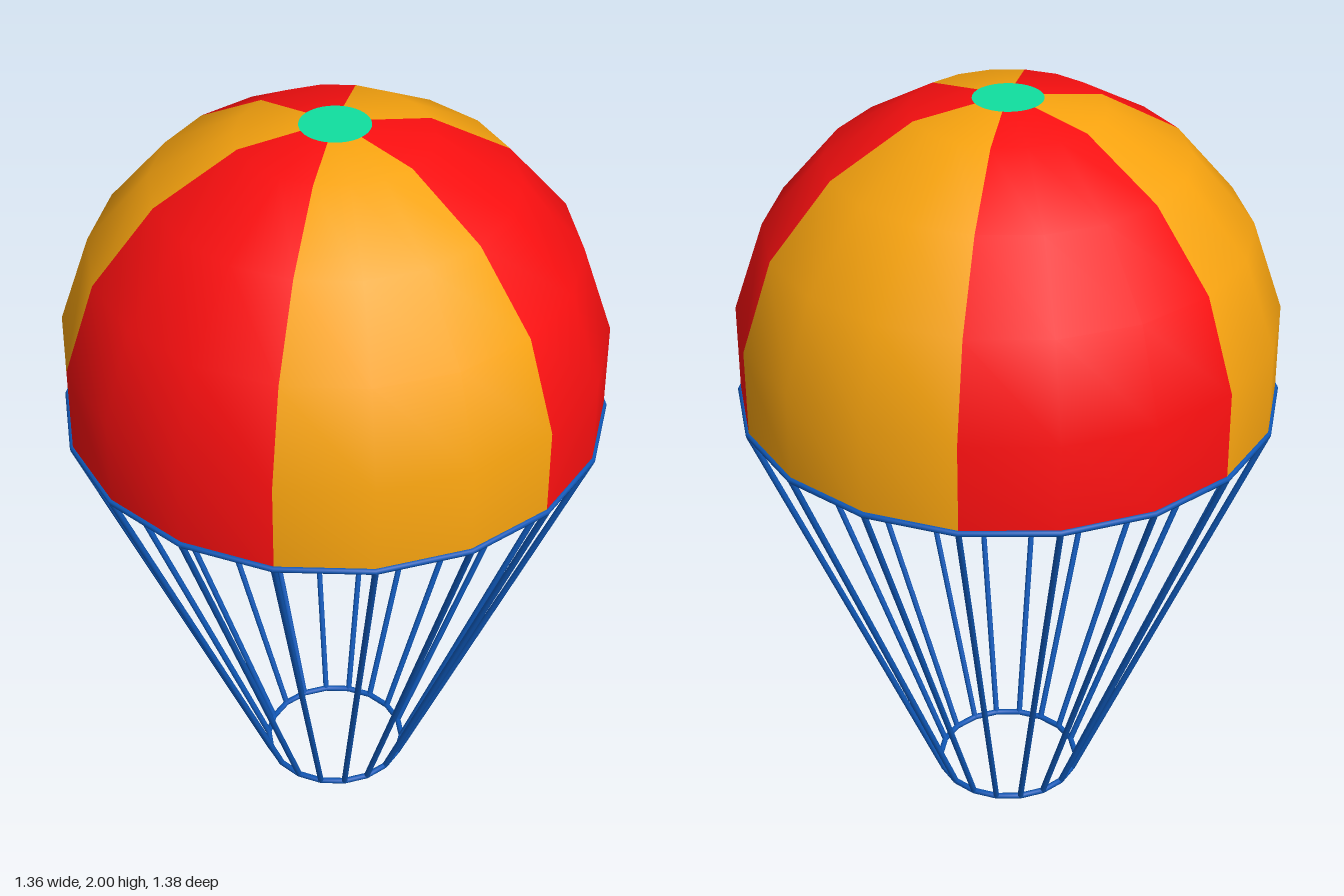
import * as THREE from 'three';

const SIDES = 18;
const STEP = (Math.PI * 2) / SIDES;
const CORD = 0.008;
const TOP_R = 0.684, TOP_Y = 1.2;
const LOW_R = 0.19, LOW_Y = 0.009;

const material = (color) => new THREE.MeshStandardMaterial({ color, side: THREE.DoubleSide });

// Point on a horizontal circle, angle measured from the front (+z)
const onCircle = (radius, y, angle) =>
  new THREE.Vector3(radius * Math.sin(angle), y, radius * Math.cos(angle));

function addMesh(parent, name, geometry, mat) {
  const mesh = new THREE.Mesh(geometry, mat);
  mesh.name = name;
  parent.add(mesh);
  return mesh;
}

function cordRing(radius, y) {
  return new THREE.TorusGeometry(radius, CORD, 8, SIDES)
    .rotateX(Math.PI / 2).rotateY(Math.PI / 2).translate(0, y, 0);
}

export function createModel() {
  const model = new THREE.Group();
  model.name = 'parachute';
  const orange = material(0xf7a30f);
  const red = material(0xfa0f10);
  const green = material(0x10dfa0);
  const blue = material(0x0f58b8);

  // Canopy: six alternating gores, each three facets wide
  const canopy = new THREE.Group();
  canopy.name = 'canopy';
  model.add(canopy);
  const profile = [
    [TOP_R, TOP_Y], [TOP_R, 1.435], [0.605, 1.668],
    [0.448, 1.853], [0.24, 1.974], [0.08, 1.997],
  ].map(([r, y]) => new THREE.Vector2(r, y));
  for (let i = 0; i < 6; i++) {
    const start = (3 * i - 2) * STEP;
    addMesh(canopy, 'canopyPanel', new THREE.LatheGeometry(profile, 3, start, 3 * STEP),
      i % 2 ? red : orange);
  }

  // Round crown patch
  addMesh(model, 'crownPatch',
    new THREE.CircleGeometry(0.087, 40).rotateX(-Math.PI / 2).translate(0, 2, 0), green);

  // Hem cord and lower harness ring
  addMesh(model, 'hemCord', cordRing(TOP_R, TOP_Y), blue);
  addMesh(model, 'harnessRing', cordRing(LOW_R, LOW_Y), blue);

  // Suspension lines from every canopy corner
  const lines = new THREE.Group();
  lines.name = 'suspensionLines';
  model.add(lines);
  const up = new THREE.Vector3(0, 1, 0);
  for (let i = 0; i < SIDES; i++) {
    const a = onCircle(LOW_R, LOW_Y, i * STEP);
    const b = onCircle(TOP_R, TOP_Y, i * STEP);
    const dir = b.clone().sub(a);
    const line = addMesh(lines, 'suspensionLine',
      new THREE.CylinderGeometry(CORD, CORD, dir.length(), 8), blue);
    line.position.copy(a).add(b).multiplyScalar(0.5);
    line.quaternion.setFromUnitVectors(up, dir.normalize());
  }
  return model;
}
